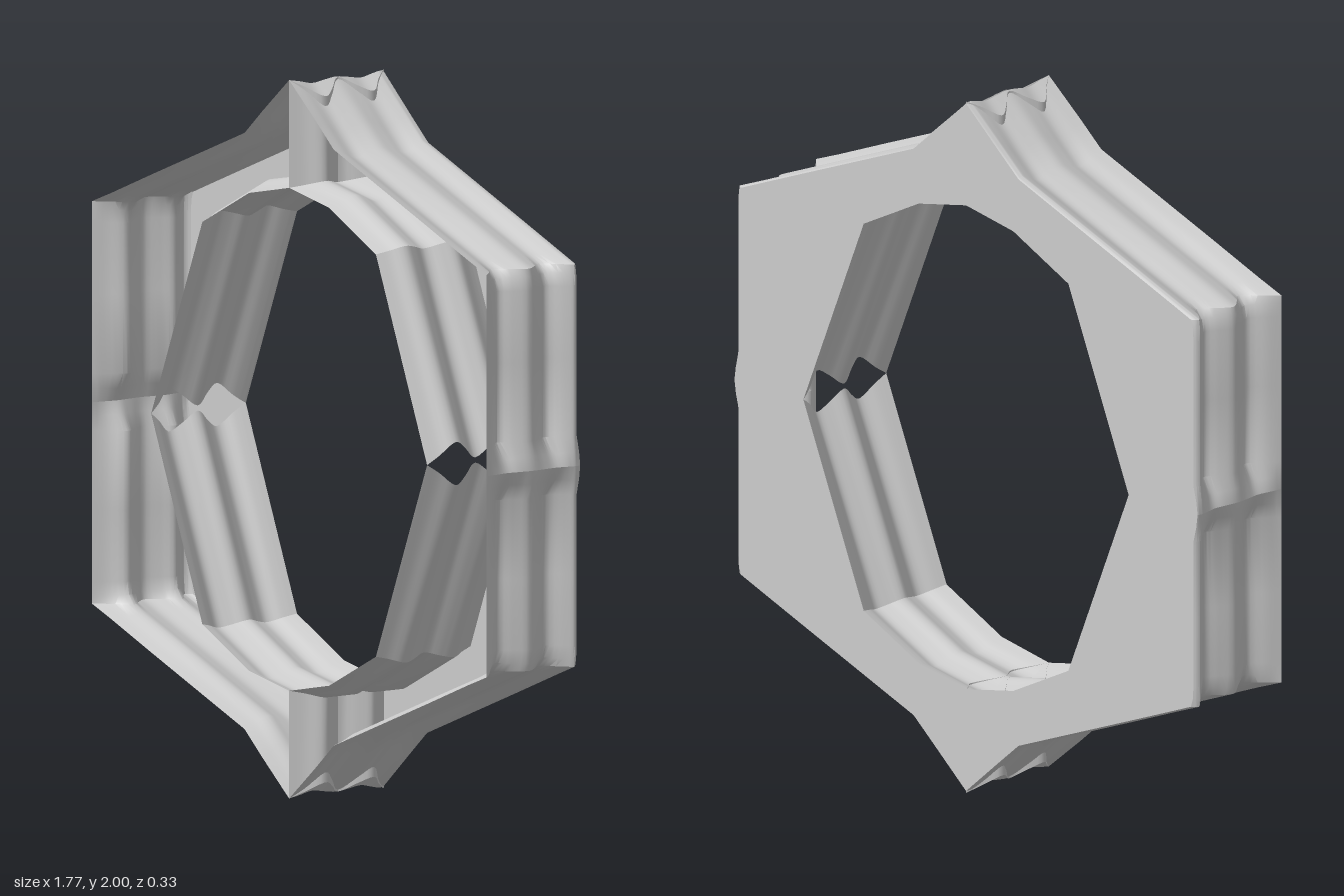
import * as THREE from 'three';
import { toCreasedNormals } from 'three/addons/utils/BufferGeometryUtils.js';

const D = 0.165; // half depth

// Grooved profile across the depth: (z, groove amount)
const wave = (front, mid, dip, back) => new THREE.SplineCurve([
  [D, front], [0.13, 0.4], [0.085, 1], [0.045, 0.65], [0, mid],
  [-0.045, 0.65], [-0.085, 1], [-0.125, 0.45], [-0.15, dip], [-D, back],
].map(([z, d]) => new THREE.Vector2(z, d))).getPoints(36);

const outerWave = wave(0, 0.3, 0.15, 0.35);
const innerWave = wave(0, 0.12, 0.15, 0);

// Upper right quarter: crest line and groove line of each wall
const outerCrest = [[0.887, 1], [0.887, 1.04], [0.887, 1.08], [0.887, 1.3], [0.887, 1.5], [0.887, 1.54],
  [0.887, 1.56], [0.8, 1.593], [0.62, 1.665], [0.2, 1.83], [0.12, 1.9], [0, 2]];
const outerGroove = [[0.875, 1], [0.86, 1.035], [0.83, 1.08], [0.83, 1.3], [0.83, 1.5], [0.822, 1.535],
  [0.802, 1.56], [0.76, 1.58], [0.61, 1.638], [0.2, 1.8], [0.13, 1.86], [0, 1.985]];
const holeCrest = [[0.62, 1], [0.39, 1.56], [0.18, 1.665], [0, 1.7]];
const holeGroove = [[0.645, 1.06], [0.42, 1.58], [0.19, 1.695], [0, 1.73]];
const webCrest = [[0, 1.7], [0, 2]];
const webGroove = [[0.06, 1.715], [0.06, 1.955]];

// Strip that moves between crest and groove lines along the depth
function wall(crest, groove, profile, sx, sy, flip) {
  const pos = [], index = [], n = crest.length;
  for (const { x: z, y: d } of profile) {
    crest.forEach(([x, y], i) => {
      const px = x + (groove[i][0] - x) * d;
      const py = y + (groove[i][1] - y) * d;
      pos.push(sx * px, 1 + sy * (py - 1), z);
    });
  }
  const reverse = (sx * sy < 0) !== flip;
  for (let j = 0; j < profile.length - 1; j++) {
    for (let i = 0; i < n - 1; i++) {
      const a = j * n + i, b = a + 1, c = a + n, e = c + 1;
      if (reverse) index.push(a, b, c, b, e, c);
      else index.push(a, c, b, b, c, e);
    }
  }
  const g = new THREE.BufferGeometry();
  g.setAttribute('position', new THREE.Float32BufferAttribute(pos, 3));
  g.setIndex(index);
  return toCreasedNormals(g, 0.6);
}

// Mirrors a quarter line into a closed outline
function outline(points) {
  const flipX = points.slice(0, -1).reverse().map(([x, y]) => [-x, y]);
  const top = [...points, ...flipX];
  const bottom = top.slice(1, -1).reverse().map(([x, y]) => [x, 2 - y]);
  return [...top, ...bottom].map(([x, y]) => new THREE.Vector2(x, y));
}

export function createModel() {
  const group = new THREE.Group();
  group.name = 'hexagonalFrame';
  const material = new THREE.MeshStandardMaterial({ color: 0xcccccc, side: THREE.DoubleSide });
  const add = (name, geometry) => {
    const mesh = new THREE.Mesh(geometry, material);
    mesh.name = name;
    group.add(mesh);
    return mesh;
  };

  // Flat back plate with the faceted opening; the front stays open
  const edge = outerWave[outerWave.length - 1].y;
  const plateLine = outerCrest.map(([x, y], i) => [
    x + (outerGroove[i][0] - x) * edge,
    y + (outerGroove[i][1] - y) * edge,
  ]);
  const plate = new THREE.Shape(outline(plateLine));
  plate.holes.push(new THREE.Path(outline(holeCrest)));
  const back = new THREE.ShapeGeometry(plate);
  back.rotateY(Math.PI); // symmetric outline, so it only turns to face the back
  back.translate(0, 0, -D);
  add('backPlate', back);

  // Four mirrored quarters of grooved walls and centre webs
  for (const sy of [1, -1]) {
    for (const sx of [1, -1]) {
      const place = (sy > 0 ? 'upper' : 'lower') + (sx > 0 ? 'Left' : 'Right');
      add(place + 'OuterWall', wall(outerCrest, outerGroove, outerWave, sx, sy, false));
      add(place + 'OpeningWall', wall(holeCrest, holeGroove, innerWave, sx, sy, true));
      add(place + 'Web', wall(webCrest, webGroove, innerWave, sx, sy, false));
    }
  }
  return group;
}
